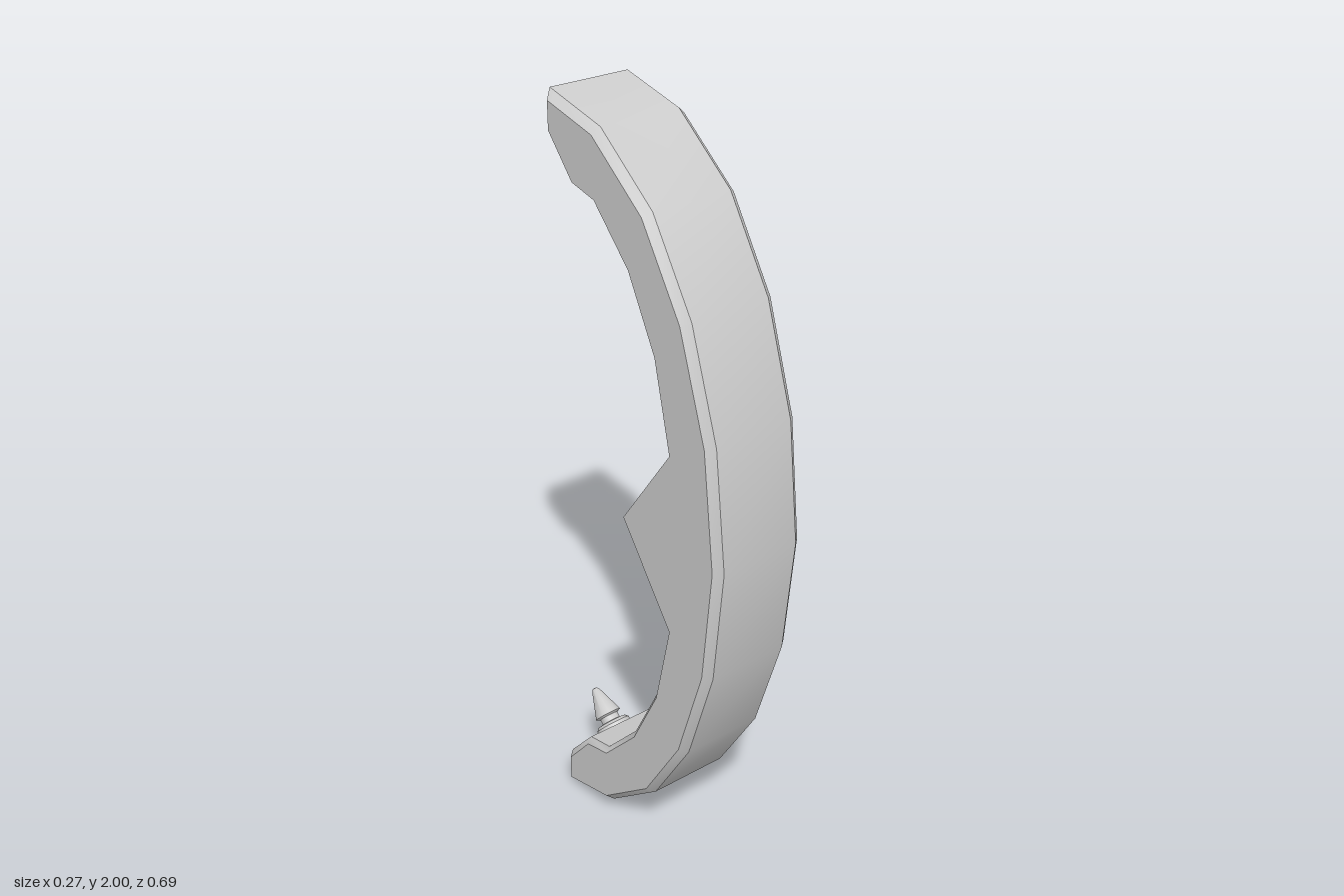
import * as THREE from 'three';
import { toCreasedNormals } from 'three/addons/utils/BufferGeometryUtils.js';

const HALF_WIDTH = 0.133;

// Upper half of the side outline: z, y, chamfer size
const upper = [
  [0.341, 1.0, 0.018], [0.307, 1.317, 0.018], [0.217, 1.593, 0.018],
  [0.08, 1.81, 0.018], [-0.106, 1.955, 0.018], [-0.298, 2.0, 0.018],
  [-0.298, 1.9, 0.018], [-0.2, 1.794, 0.014], [-0.116, 1.776, 0.013],
  [0.005, 1.65, 0.013], [0.1, 1.472, 0.011], [0.164, 1.245, 0], [-0.016, 1.0, 0],
];
const lower = upper.slice(1, -1).reverse().map(([z, y, c]) => [z, 2 - y, c]);
const outline = [...upper, ...lower];

// Move each outline corner inwards along its mitre
function insetOutline(points) {
  const n = points.length;
  const normal = (p, q) => new THREE.Vector2(p[1] - q[1], q[0] - p[0]).normalize();
  return points.map((p, i) => {
    const a = normal(points[(i + n - 1) % n], p);
    const b = normal(p, points[(i + 1) % n]);
    const mitre = a.clone().add(b).multiplyScalar(p[2] / (1 + a.dot(b)));
    return new THREE.Vector2(p[0] + mitre.x, p[1] + mitre.y);
  });
}

// Chamfered bow: four outlines across the width, plus two flat sides
function bowGeometry() {
  const n = outline.length;
  const side = insetOutline(outline);
  const pos = [];
  const index = [];
  for (const [sign, rim] of [[-1, false], [-1, true], [1, true], [1, false]]) {
    outline.forEach(([z, y, c], i) => {
      if (rim) pos.push(sign * (HALF_WIDTH - c * 1.17), y, z);
      else pos.push(sign * HALF_WIDTH, side[i].y, side[i].x);
    });
  }
  for (let r = 0; r < 3; r++) {
    for (let i = 0; i < n; i++) {
      const j = (i + 1) % n;
      const a = r * n + i, b = a + n, d = r * n + j, c = d + n;
      index.push(a, b, c, a, c, d);
    }
  }
  for (const [a, b, c] of THREE.ShapeUtils.triangulateShape(side, [])) {
    index.push(a, b, c, 3 * n + a, 3 * n + c, 3 * n + b);
  }
  const g = new THREE.BufferGeometry();
  g.setAttribute('position', new THREE.Float32BufferAttribute(pos, 3));
  g.setIndex(index);
  return toCreasedNormals(g, 0.5);
}

// Stud: stepped collar, narrow neck and blunt cone
function studGeometry() {
  const profile = [
    [0.05, -0.01], [0.05, 0.01], [0.042, 0.018], [0.027, 0.02], [0.027, 0.036],
    [0.038, 0.041], [0.012, 0.116], [0.007, 0.123], [0, 0.125],
  ].map(([r, y]) => new THREE.Vector2(r, y));
  return toCreasedNormals(new THREE.LatheGeometry(profile, 20), 0.6);
}

export function createModel() {
  const group = new THREE.Group();
  const material = new THREE.MeshStandardMaterial({ color: 0xcccccc });

  const bow = new THREE.Mesh(bowGeometry(), material);
  bow.name = 'bow';
  group.add(bow);

  // A stud on the slanted face at each end
  const stud = studGeometry();
  for (const s of [1, -1]) {
    const mesh = new THREE.Mesh(stud, material);
    mesh.name = s > 0 ? 'upperStud' : 'lowerStud';
    mesh.position.set(0, 1 + s * 0.847, -0.249);
    const axis = new THREE.Vector3(0, -s * 0.67, -0.74).normalize();
    mesh.quaternion.setFromUnitVectors(new THREE.Vector3(0, 1, 0), axis);
    group.add(mesh);
  }
  return group;
}
